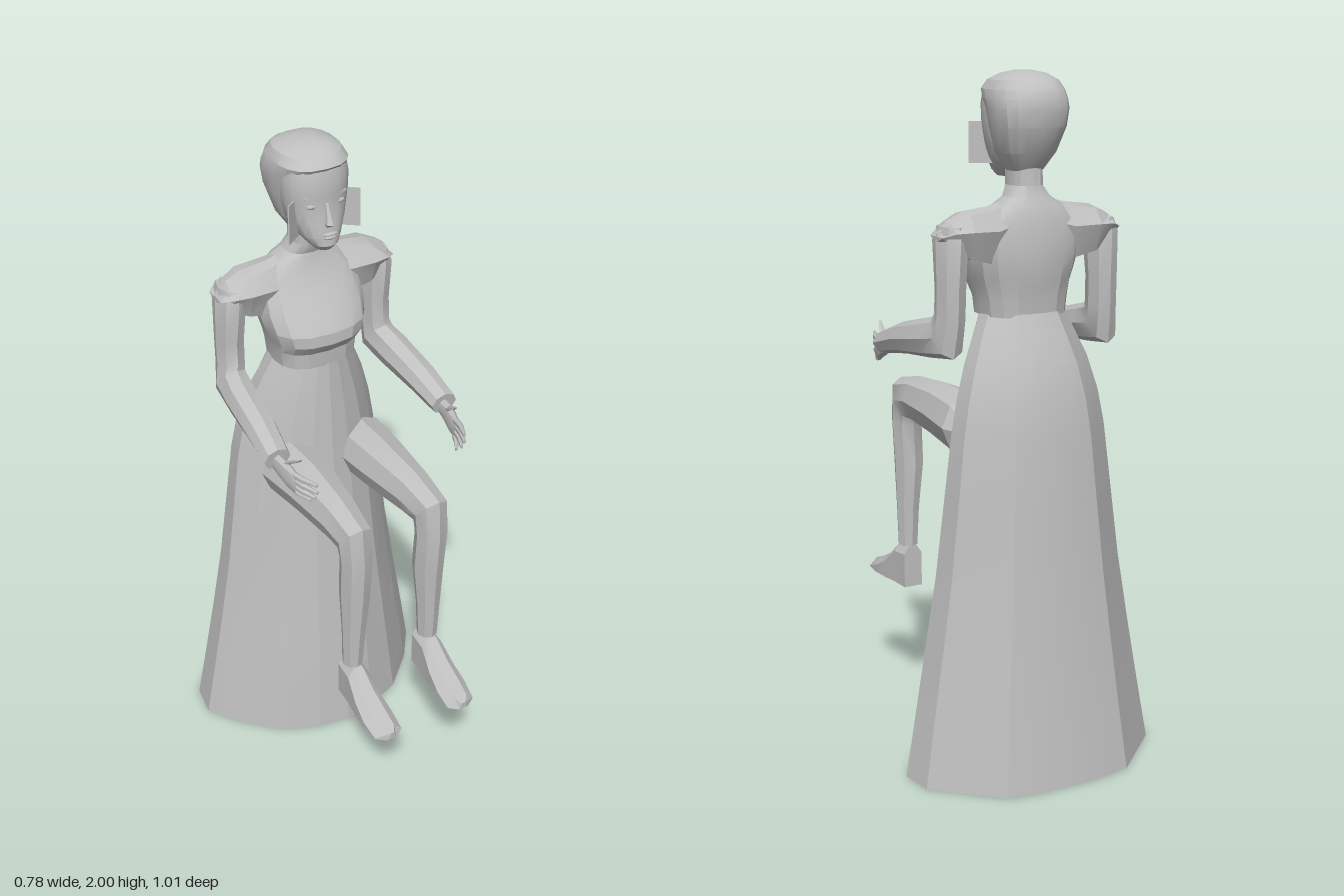
import * as THREE from 'three';
import { toCreasedNormals } from 'three/addons/utils/BufferGeometryUtils.js';

const clay = new THREE.MeshStandardMaterial({ color: 0xc0c0c0, side: THREE.DoubleSide });
clay.name = 'light grey';

// Skin a list of rings (each a list of [x, y, z]) and turn the faces outward
function loft(rings, crease = 0.5, caps = true) {
  const pos = [], n = rings[0].length;
  const tri = (a, b, c) => pos.push(...a, ...b, ...c);
  for (let i = 0; i < rings.length - 1; i++) {
    for (let j = 0; j < n; j++) {
      const k = (j + 1) % n, [p, q] = [rings[i], rings[i + 1]];
      tri(p[j], q[j], q[k]);
      tri(p[j], q[k], p[k]);
    }
  }
  if (caps) {
    for (const [r, flip] of [[rings[0], false], [rings[rings.length - 1], true]]) {
      const c = [0, 1, 2].map(a => r.reduce((s, p) => s + p[a], 0) / n);
      r.forEach((p, j) => (flip ? tri(c, r[(j + 1) % n], p) : tri(c, p, r[(j + 1) % n])));
    }
  }
  let volume = 0;
  const v = i => new THREE.Vector3().fromArray(pos, i);
  for (let i = 0; i < pos.length; i += 9) volume += v(i).dot(v(i + 3).cross(v(i + 6)));
  if (volume < 0) {
    for (let i = 0; i < pos.length; i += 9) pos.splice(i + 3, 6, ...pos.slice(i + 6, i + 9), ...pos.slice(i + 3, i + 6));
  }
  const g = new THREE.BufferGeometry();
  g.setAttribute('position', new THREE.Float32BufferAttribute(pos, 3));
  return toCreasedNormals(g, crease);
}

// Level ring for the body and head: height, half width, front z, back z
function level([y, w, zf, zb], n = 16, e = 0.8) {
  const bend = t => Math.sign(t) * Math.abs(t) ** e;
  return Array.from({ length: n }, (_, i) => {
    const a = (i / n) * Math.PI * 2;
    return [w * bend(Math.sin(a)), y, (zf + zb) / 2 + ((zf - zb) / 2) * bend(Math.cos(a))];
  });
}

// Limb rings: centre x, y, z, half width, half depth, tilt (0 = level, 90 = upright)
function limb(sections, n = 8, side = 1, crease = 0.5) {
  return loft(sections.map(([x, y, z, rx, r, tilt]) => Array.from({ length: n }, (_, i) => {
    const a = (i / n) * Math.PI * 2, t = THREE.MathUtils.degToRad(tilt);
    const u = r * Math.cos(a);
    return [side * (x + rx * Math.sin(a)), y + u * Math.sin(t), z + u * Math.cos(t)];
  })), crease);
}

export function createModel() {
  const model = new THREE.Group();
  model.name = 'seated woman';
  const add = (name, geometry, parent = model) => {
    const m = new THREE.Mesh(geometry, clay);
    m.name = name;
    parent.add(m);
    return m;
  };

  // Long open skirt: one outline at the hem, narrowed toward the waist
  const half = [[0, 0.035], [0.1, 0.02], [0.21, -0.025], [0.32, -0.13], [0.39, -0.23],
    [0.375, -0.33], [0.2, -0.49], [0.1, -0.507], [0, -0.51]];
  const hem = [...half, ...half.slice(1, -1).reverse().map(([x, z]) => [-x, z])];
  const skirt = [[0, 0.39, 0.035, -0.51], [0.2, 0.355, 0.018, -0.485], [0.4, 0.32, 0, -0.463],
    [0.6, 0.287, -0.02, -0.442], [0.8, 0.262, -0.04, -0.422], [1, 0.237, -0.06, -0.402],
    [1.1, 0.218, -0.067, -0.388], [1.2, 0.188, -0.074, -0.362], [1.28, 0.153, -0.08, -0.328],
    [1.34, 0.125, -0.085, -0.303]];
  add('skirt', loft(skirt.map(([y, w, zf, zb]) => hem.map(([x, z]) =>
    [x * w / 0.39, y, zb + (z + 0.51) / 0.545 * (zf - zb)])), 0.2, false));

  // Bodice, chest and neck
  add('torso', loft([[1.33, 0.127, -0.085, -0.303], [1.38, 0.133, -0.082, -0.305],
    [1.415, 0.142, -0.056, -0.31], [1.45, 0.153, -0.058, -0.314], [1.5, 0.162, -0.088, -0.316],
    [1.55, 0.158, -0.125, -0.312], [1.6, 0.142, -0.152, -0.304], [1.635, 0.105, -0.165, -0.294],
    [1.66, 0.065, -0.17, -0.282], [1.69, 0.047, -0.158, -0.272], [1.77, 0.046, -0.15, -0.27]]
    .map(r => level(r)), 0.35));

  // Head: hair cap and face
  const head = new THREE.Group();
  head.name = 'head';
  model.add(head);
  add('hair', loft([[1.73, 0.048, -0.17, -0.265], [1.78, 0.082, -0.14, -0.3], [1.85, 0.103, -0.135, -0.33],
    [1.9, 0.11, -0.13, -0.336], [1.925, 0.109, -0.105, -0.334], [1.95, 0.105, -0.085, -0.325],
    [1.975, 0.09, -0.108, -0.303], [1.992, 0.06, -0.145, -0.27], [2, 0.025, -0.18, -0.235]]
    .map(r => level(r, 18)), 0.4), head);
  add('face', loft([[1.707, 0.026, -0.085, -0.15], [1.725, 0.044, -0.069, -0.19], [1.75, 0.064, -0.072, -0.23],
    [1.79, 0.081, -0.077, -0.25], [1.835, 0.093, -0.086, -0.25], [1.87, 0.097, -0.084, -0.25],
    [1.91, 0.099, -0.085, -0.25], [1.945, 0.096, -0.093, -0.25]].map(r => level(r, 18, 0.9)), 0.5), head);
  add('nose', limb([[0, 1.85, -0.09, 0.006, 0.008, 0], [0, 1.81, -0.077, 0.011, 0.013, 0],
    [0, 1.793, -0.072, 0.016, 0.017, 0], [0, 1.782, -0.08, 0.011, 0.008, 0]], 6), head);
  for (const [name, y, w, h] of [['upperLip', 1.761, 0.025, 0.005], ['lowerLip', 1.751, 0.02, 0.006]]) {
    const lip = add(name, new THREE.SphereGeometry(1, 10, 6), head);
    lip.scale.set(w, h, 0.009);
    lip.position.set(0, y, -0.073);
  }

  for (const side of [1, -1]) {
    const label = side > 0 ? 'left' : 'right';
    // Eye, brow and the slanted plate beside the cheek
    const eye = add(label + 'Eye', new THREE.SphereGeometry(1, 10, 6), head);
    eye.scale.set(0.018, 0.008, 0.009);
    eye.position.set(side * 0.042, 1.843, -0.098);
    const brow = add(label + 'Brow', new THREE.BoxGeometry(0.042, 0.006, 0.01), head);
    brow.position.set(side * 0.044, 1.867, -0.096);
    brow.rotation.set(0, side * 0.25, side * 0.08);
    const plate = add(label + 'EarPlate', new THREE.BoxGeometry(0.068, 0.115, 0.004), head);
    plate.position.set(side * 0.086, 1.802, -0.122);
    plate.rotation.y = -side * 0.65;

    // Sloping shoulder, skinned sideways: x, top, bottom, front, back
    const shoulder = [[0.05, 1.655, 1.5, -0.18, -0.285], [0.12, 1.638, 1.48, -0.16, -0.3],
      [0.2, 1.628, 1.5, -0.155, -0.308], [0.25, 1.605, 1.53, -0.165, -0.298], [0.282, 1.572, 1.55, -0.195, -0.27]];
    add(label + 'Shoulder', loft(shoulder.map(([x, t, b, f, k]) => {
      const zm = (f + k) / 2, m = t * 0.6 + b * 0.4;
      return [[t, zm], [t - 0.008, f - 0.035], [m, f], [b, f - 0.03], [b, k + 0.03], [m, k], [t - 0.008, k + 0.035]]
        .map(([y, z]) => [side * x, y, z]);
    }), 0.4));

    // Bent arm
    add(label + 'Arm', limb([[0.238, 1.59, -0.232, 0.032, 0.055, 0], [0.24, 1.55, -0.232, 0.044, 0.066, 0],
      [0.243, 1.42, -0.238, 0.042, 0.052, 0], [0.244, 1.34, -0.235, 0.041, 0.054, 10],
      [0.25, 1.283, -0.225, 0.046, 0.072, 50], [0.258, 1.268, -0.14, 0.049, 0.057, 84],
      [0.268, 1.245, 0, 0.047, 0.046, 82], [0.277, 1.215, 0.11, 0.041, 0.035, 82]], 8, side));

    // Hand with thumb and fingers
    const hand = new THREE.Group();
    hand.name = label + 'Hand';
    model.add(hand);
    add('palm', limb([[0.276, 1.205, 0.1, 0.018, 0.026, 90], [0.274, 1.198, 0.135, 0.017, 0.034, 90],
      [0.269, 1.187, 0.17, 0.015, 0.04, 90], [0.264, 1.178, 0.2, 0.01, 0.036, 90]], 8, side), hand);
    add('thumb', limb([[0.272, 1.21, 0.135, 0.011, 0.013, 80], [0.262, 1.238, 0.17, 0.01, 0.012, 60],
      [0.254, 1.256, 0.2, 0.006, 0.007, 60]], 6, side), hand);
    for (const [y0, y1, z1] of [[1.205, 1.212, 0.272], [1.189, 1.189, 0.274], [1.171, 1.164, 0.262], [1.155, 1.14, 0.236]]) {
      const zm = (0.185 + z1) / 2;
      add('finger', limb([[0.266, y0, 0.185, 0.01, 0.011, 90], [0.258, (y0 + y1) / 2, zm, 0.009, 0.011, 90],
        [0.241, y1, z1, 0.005, 0.006, 90]], 6, side), hand);
    }

    // Bent leg running down into the foot
    add(label + 'Leg', limb([[0.125, 0.985, -0.165, 0.05, 0.05, 90], [0.122, 0.994, -0.12, 0.09, 0.09, 90],
      [0.12, 1.005, 0.03, 0.08, 0.085, 90], [0.125, 1.005, 0.2, 0.06, 0.072, 88],
      [0.128, 0.99, 0.28, 0.05, 0.076, 52], [0.127, 0.92, 0.29, 0.048, 0.05, 8],
      [0.126, 0.79, 0.281, 0.046, 0.05, 0], [0.13, 0.64, 0.283, 0.036, 0.037, 0],
      [0.132, 0.52, 0.281, 0.031, 0.032, 0]], 8, side));

    // Foot, skinned heel to toe: z, centre x, half width, top
    const foot = [[0.248, 0.131, 0.03, 0.52], [0.312, 0.131, 0.034, 0.515], [0.37, 0.131, 0.043, 0.465],
      [0.43, 0.13, 0.049, 0.435], [0.485, 0.128, 0.045, 0.415], [0.505, 0.126, 0.014, 0.408]];
    add(label + 'Foot', loft(foot.map(([z, x, w, t]) => [[-1, 0.387], [1, 0.387], [1, t - 0.025], [0.45, t], [-0.45, t], [-1, t - 0.025]]
      .map(([s, y]) => [side * (x + s * w), y, z])), 0.4));
  }
  return model;
}
